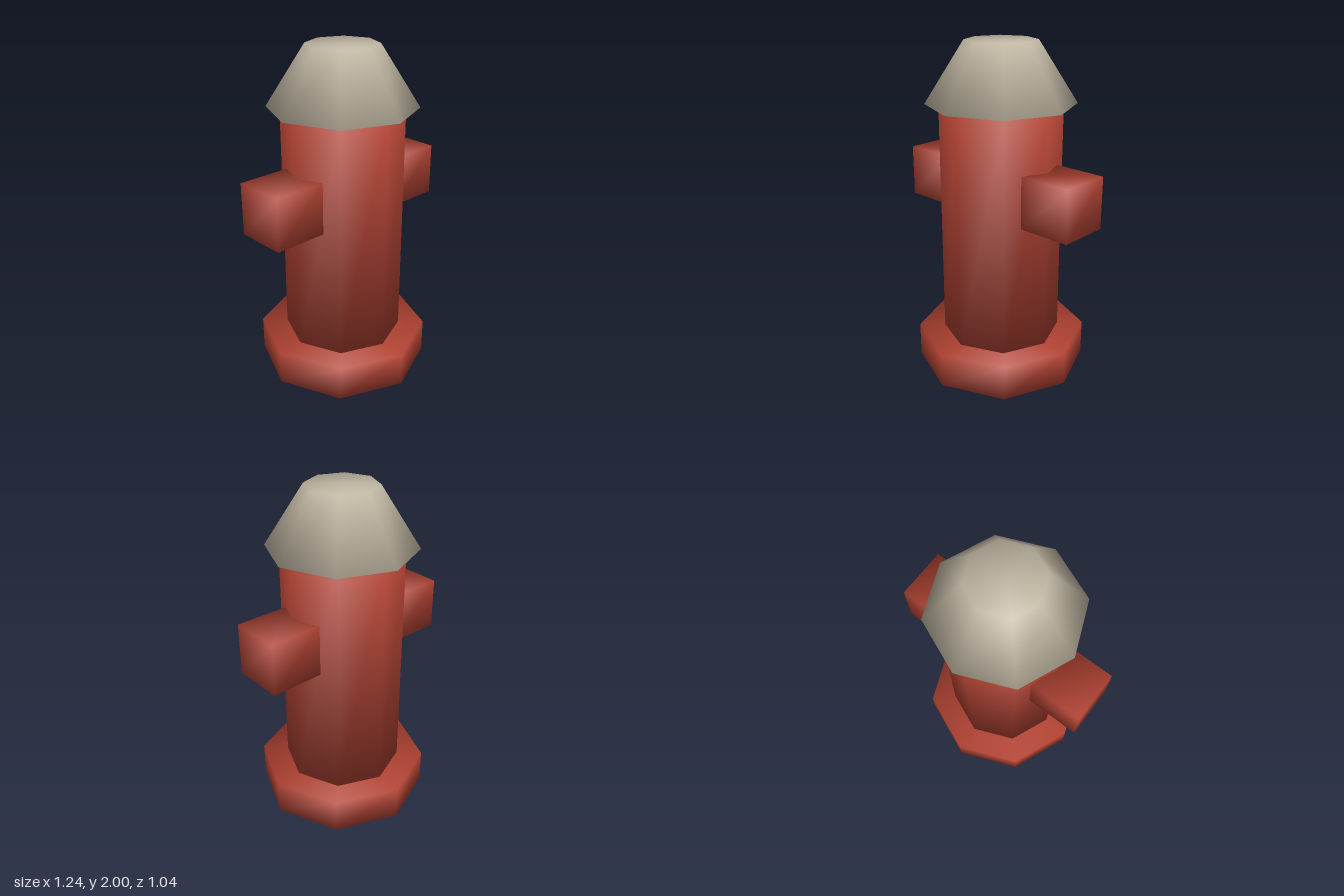
import * as THREE from 'three';

const red = new THREE.MeshStandardMaterial({ name: 'hydrant red', color: 0xb04232 });
const stone = new THREE.MeshStandardMaterial({ name: 'warm grey', color: 0xbfb6a2 });

// Replace each vertex normal with one given by a rule, so shading rolls over the edges.
function softenNormals(geometry, rule) {
  const { position, normal } = geometry.attributes;
  const p = new THREE.Vector3();
  for (let i = 0; i < position.count; i++) {
    const n = rule(p.fromBufferAttribute(position, i)).normalize();
    normal.setXYZ(i, n.x, n.y, n.z);
  }
  return geometry;
}

// Closed eight-sided drum with corners on the axes, softly shaded across its rims.
function drum(name, material, bottomRadius, topRadius, y0, y1) {
  const height = y1 - y0;
  const slope = Math.atan2(bottomRadius - topRadius, height);
  const geometry = softenNormals(
    new THREE.CylinderGeometry(topRadius, bottomRadius, height, 8),
    (p) => {
      const end = Math.sign(p.y);
      const radial = new THREE.Vector3(p.x, 0, p.z);
      if (radial.length() < 1e-4) return new THREE.Vector3(0, end, 0);
      radial.setLength(1.25 * Math.cos(slope));
      radial.y = 1.35 * Math.sin(slope) + end;
      return radial;
    }
  );
  const mesh = new THREE.Mesh(geometry, material);
  mesh.name = name;
  mesh.position.y = (y0 + y1) / 2;
  return mesh;
}

// Softly shaded side outlet block
function outlet(name, side) {
  const geometry = softenNormals(new THREE.BoxGeometry(0.33, 0.31, 0.31), (p) => p.clone());
  const mesh = new THREE.Mesh(geometry, red);
  mesh.name = name;
  mesh.position.set(side * 0.455, 1.145, 0);
  return mesh;
}

export function createModel() {
  const model = new THREE.Group();
  model.name = 'hydrant';
  model.add(
    drum('base', red, 0.52, 0.52, 0, 0.21),
    drum('column', red, 0.36, 0.36, 0.2, 1.645),
    drum('cap', stone, 0.44, 0.21, 1.64, 2),
    outlet('leftOutlet', 1),
    outlet('rightOutlet', -1)
  );
  return model;
}
